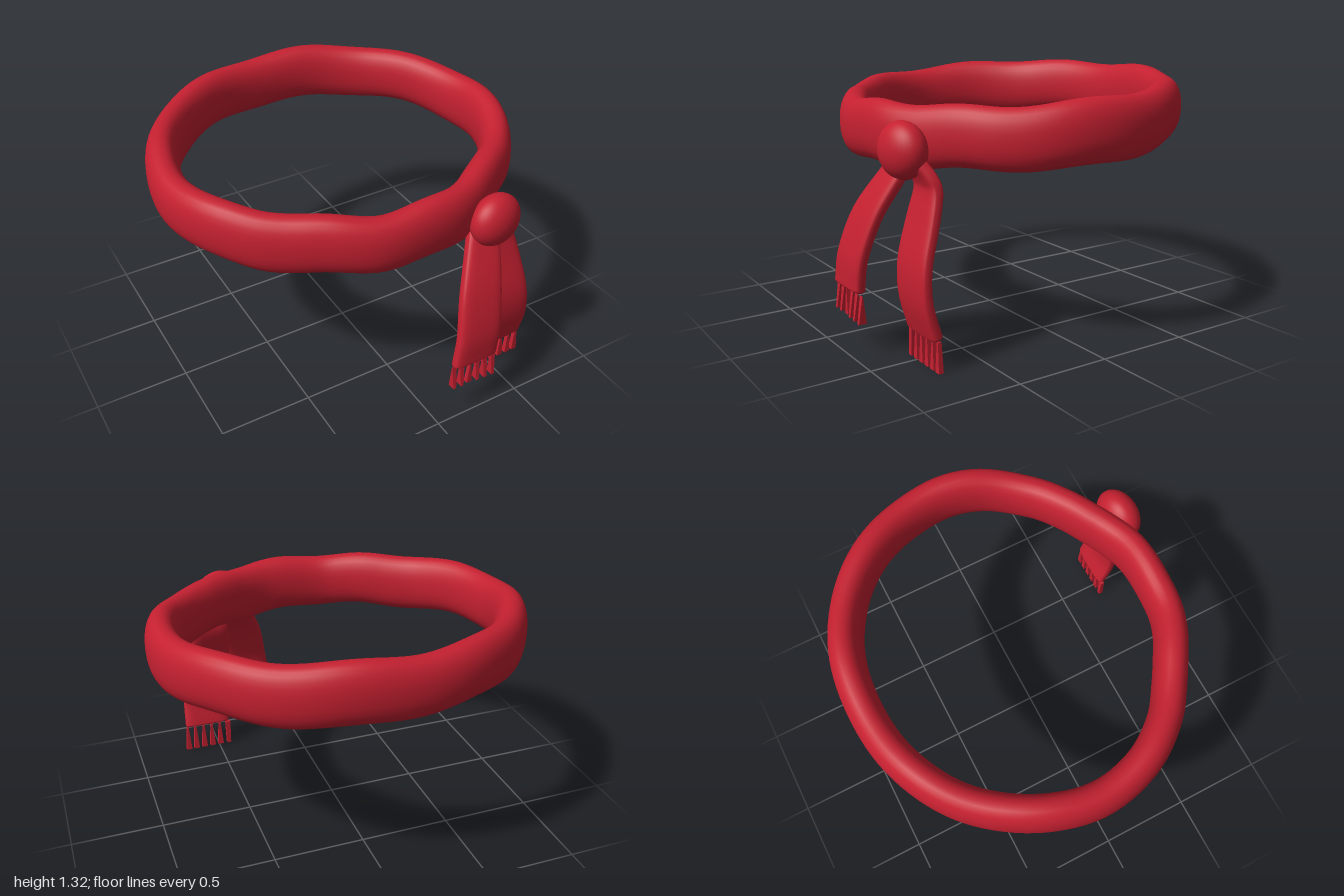
import * as THREE from 'three';

const V = (x, y, z) => new THREE.Vector3(x, y, z);
const X = V(1, 0, 0), Y = V(0, 1, 0);

// Skin a list of equal-length point rings; optionally join the last ring to the first
function loft(rings, closed) {
  const n = rings[0].length, m = rings.length, index = [];
  for (let i = 0; i < (closed ? m : m - 1); i++) {
    for (let j = 0; j < n; j++) {
      const a = i * n + j, b = i * n + (j + 1) % n;
      const i2 = ((i + 1) % m) * n, c = i2 + j, d = i2 + (j + 1) % n;
      index.push(a, b, c, b, d, c);
    }
  }
  const geo = new THREE.BufferGeometry().setFromPoints(rings.flat());
  geo.setIndex(index);
  geo.computeVertexNormals();
  return geo;
}

// Rounded section spanned by two axes; power < 1 makes it boxier
function section(centre, u, v, ru, rv, count, power = 1) {
  const round = (s) => Math.sign(s) * Math.pow(Math.abs(s), power);
  return Array.from({ length: count }, (_, j) => {
    const a = (j / count) * Math.PI * 2;
    return centre.clone()
      .addScaledVector(u, ru * round(Math.cos(a)))
      .addScaledVector(v, rv * round(Math.sin(a)));
  });
}

// Loop around the neck: half outline mirrored, tilted up to the back, gently wavy
function loopGeometry() {
  const half = [[0.2, 0.69], [0.34, 0.635], [0.44, 0.575], [0.55, 0.505], [0.7, 0.39], [0.85, 0.18],
    [0.912, -0.08], [0.87, -0.33], [0.75, -0.555], [0.57, -0.74], [0.31, -0.87]];
  const outline = [[0, 0.705], ...half.map(([x, z]) => [-x, z]), [0, -0.913], ...half.reverse()];
  const curve = new THREE.CatmullRomCurve3(outline.map(([x, z]) => V(x, 0, z)), true);
  const rings = [], steps = 120;
  for (let i = 0; i < steps; i++) {
    const c = curve.getPointAt(i / steps);
    const out = Y.clone().cross(curve.getTangentAt(i / steps));
    const a = Math.atan2(c.x, c.z);
    c.y = 1.095 - 0.062 * c.z + 0.009 * Math.sin(9 * a + 0.6);
    rings.push(section(c, out, Y, 0.087, 0.154 + 0.004 * Math.sin(5 * a), 28, 0.9));
  }
  return loft(rings, true);
}

// Hanging end: rows of [x, y, z, half width] from the knot down
function tailGeometry(rows) {
  const path = new THREE.CatmullRomCurve3(rows.map(([x, y, z]) => V(x, y, z)), false, 'catmullrom');
  const widths = new THREE.CatmullRomCurve3(rows.map((r) => V(r[3], 0, 0)), false, 'catmullrom');
  const rings = [], steps = 28, thick = 0.035;
  const add = (t, cut, ahead, thin) => {
    const dir = path.getTangent(t);
    dir.x = 0;
    dir.normalize();
    const c = path.getPoint(t).addScaledVector(dir, ahead);
    rings.push(section(c, X, dir.clone().cross(X), widths.getPoint(t).x - cut, thick * thin, 28, 0.55));
  };
  add(0, 0, 0, 0);
  for (let i = 0; i <= steps; i++) add(i / steps, 0, 0, 1);
  for (let i = 1; i <= 4; i++) {
    const a = (i / 4) * Math.PI / 2;
    add(1, 0.015 * (1 - Math.cos(a)), 0.015 * Math.sin(a), Math.cos(a));
  }
  return loft(rings, false);
}

// Fringe strand: tapered box with separate top and bottom sizes
function strandGeometry(height, top, bottom) {
  const geo = new THREE.BoxGeometry(1, height, 1).toNonIndexed();
  const p = geo.attributes.position;
  for (let i = 0; i < p.count; i++) {
    const s = p.getY(i) > 0 ? top : bottom;
    p.setX(i, p.getX(i) * s[0]);
    p.setZ(i, p.getZ(i) * s[1]);
  }
  geo.computeVertexNormals();
  return geo;
}

export function createModel() {
  const group = new THREE.Group();
  const redWool = new THREE.MeshStandardMaterial({ color: 0xc42030 });
  const add = (name, geo, parent = group) => {
    const mesh = new THREE.Mesh(geo, redWool);
    mesh.name = name;
    parent.add(mesh);
    return mesh;
  };

  add('neckLoop', loopGeometry());

  // Knot
  const knot = add('knot', new THREE.SphereGeometry(1, 32, 24));
  knot.scale.set(0.147, 0.14, 0.1);
  knot.position.set(0.425, 1.012, 0.767);
  knot.rotation.y = 0.15;

  // Hanging ends
  add('frontTail', tailGeometry([
    [0.37, 0.98, 0.72, 0.07], [0.345, 0.88, 0.785, 0.1], [0.282, 0.7, 0.885, 0.122],
    [0.244, 0.5, 0.95, 0.127], [0.222, 0.34, 0.963, 0.13]]));
  add('sideTail', tailGeometry([
    [0.47, 0.97, 0.74, 0.08], [0.5, 0.9, 0.7, 0.095], [0.515, 0.83, 0.685, 0.105], [0.525, 0.7, 0.72, 0.125],
    [0.545, 0.5, 0.78, 0.135], [0.557, 0.33, 0.785, 0.137], [0.565, 0.17, 0.745, 0.137]]));

  // Fringes, with one odd strand in each
  const fringe = (name, xs, topY, slope, height, z, odd, plain, special) => {
    const row = new THREE.Group();
    row.name = name;
    xs.forEach((x, i) => {
      const [top, bottom] = i === odd ? special : plain;
      add('strand', strandGeometry(height, top, bottom), row)
        .position.set(x, topY - height / 2 - slope * i, z);
    });
    group.add(row);
  };
  const wedge = [[0.004, 0.02], [0.032, 0.026]];
  const twisted = [[0.028, 0.004], [0.017, 0.042]];
  fringe('frontFringe', [0.1, 0.148, 0.198, 0.247, 0.295, 0.345], 0.33, 0.003, 0.14, 0.962, 2, twisted, wedge);
  fringe('sideFringe', [0.435, 0.488, 0.54, 0.592, 0.644, 0.693], 0.152, 0, 0.152, 0.741, 0,
    [[0.01, 0.02], [0.034, 0.026]], [[0.03, 0.02], [0.024, 0.026]]);

  return group;
}
